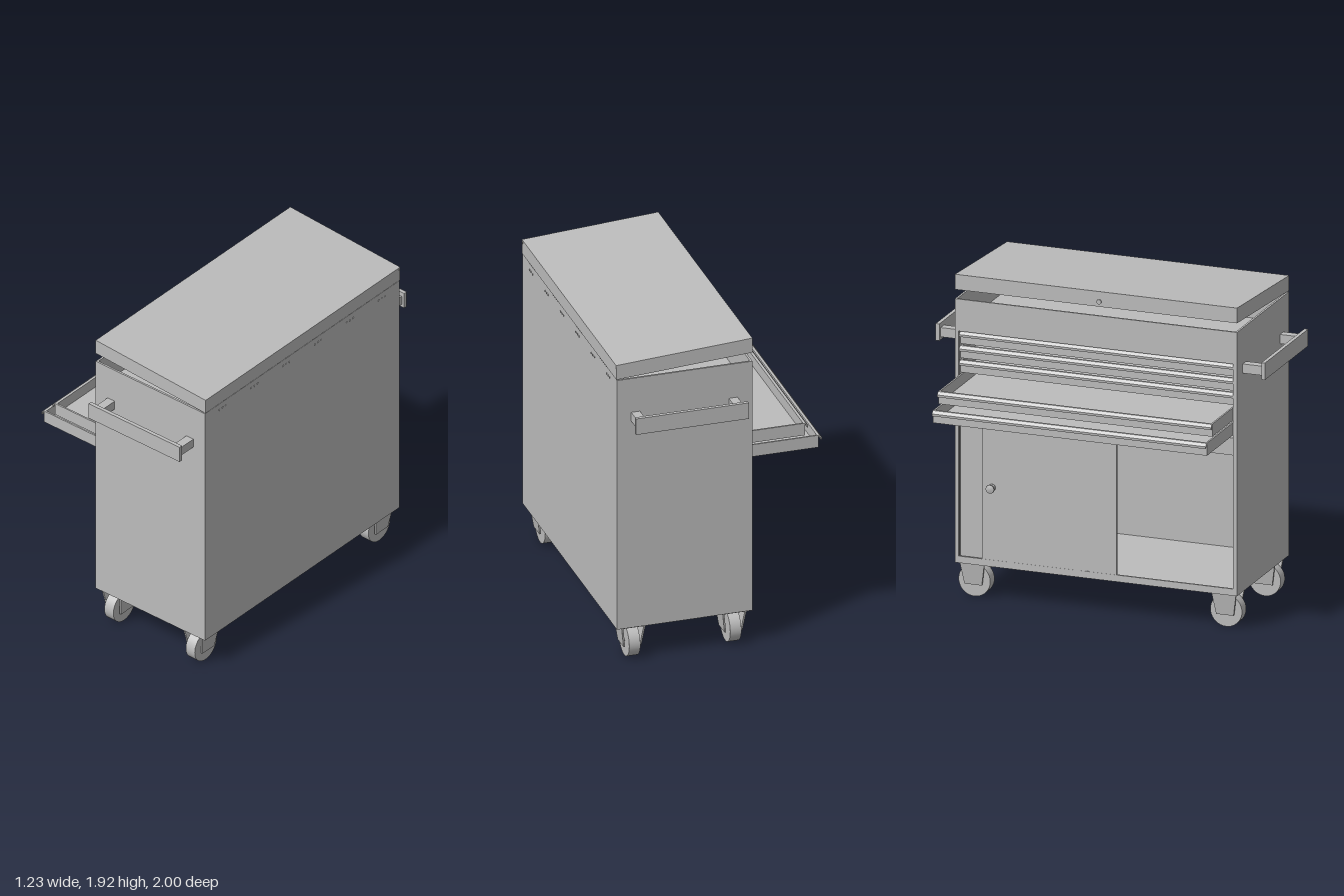
import * as THREE from 'three';

const steel = new THREE.MeshStandardMaterial({ color: 0xbcbcbc });
steel.name = 'grey steel';

function add(parent, name, geometry) {
  const mesh = new THREE.Mesh(geometry, steel);
  mesh.name = name;
  parent.add(mesh);
  return mesh;
}

// Box given by its limits on each axis
function box(parent, name, x0, x1, y0, y1, z0, z1) {
  const mesh = add(parent, name, new THREE.BoxGeometry(x1 - x0, y1 - y0, z1 - z0));
  mesh.position.set((x0 + x1) / 2, (y0 + y1) / 2, (z0 + z1) / 2);
  return mesh;
}

// Profile in x, y run along z
function prism(parent, name, points, z0, z1) {
  const shape = new THREE.Shape(points.map(p => new THREE.Vector2(...p)));
  const geometry = new THREE.ExtrudeGeometry(shape, { depth: z1 - z0, bevelEnabled: false });
  const mesh = add(parent, name, geometry);
  mesh.position.z = z0;
  return mesh;
}

function group(parent, name) {
  const g = new THREE.Group();
  g.name = name;
  parent.add(g);
  return g;
}

const X0 = -0.2, X1 = 0.605, Y0 = 0.21, Y1 = 1.775, Z = 0.855, T = 0.012;

function buildCabinet(root) {
  const g = group(root, 'cabinet');
  box(g, 'backPanel', X1 - T, X1, Y0, Y1, -Z, Z);
  box(g, 'floor', X0, X1, Y0, Y0 + T, -Z, Z);
  box(g, 'drawerDivider', -0.185, X1, 1.13, 1.142, -Z, Z);
  box(g, 'topTray', X0, X1, 1.585, 1.597, -Z, Z);
  box(g, 'upperFrontPanel', X0, X0 + T, 1.585, Y1, -Z, Z);
  box(g, 'doorHeader', -0.19, -0.15, 1.04, 1.142, -Z, Z);
  box(g, 'bottomRail', X0, X0 + T, Y0, 0.25, -Z, Z);
  box(g, 'doorTrack', -0.178, -0.172, Y0, 0.24, -Z, Z);
  for (const s of [-1, 1]) {
    const side = (name, x0, x1, y0, y1, a, b) =>
      box(g, name, x0, x1, y0, y1, Math.min(s * a, s * b), Math.max(s * a, s * b));
    side('sidePanel', X0, X1, Y0, Y1, Z - T, Z);
    side('frontStile', X0, X0 + T, Y0, Y1, 0.832, Z);
    side('innerJamb', -0.15, -0.09, Y0, 1.13, 0.82, Z);
  }
  // hinge rivets along the back
  for (let i = 0; i < 6; i++) for (let k = -1; k <= 1; k++) {
    const rivet = add(g, 'hingeRivet', new THREE.CylinderGeometry(0.006, 0.006, 0.004, 8));
    rivet.rotation.z = Math.PI / 2;
    rivet.position.set(X1 + 0.001, 1.735, 0.7 - 0.28 * i + 0.028 * k);
  }
}

function buildLid(root) {
  const g = group(root, 'lid');
  prism(g, 'lidTop', [[X0, 1.91], [0.61, 1.86], [0.61, 1.87], [X0, 1.92]], -Z, Z);
  const edge = [[X0, 1.83], [0.57, 1.783], [0.605, 1.78], [0.61, 1.865], [X0, 1.915]];
  prism(g, 'lidSide', edge, -Z, -Z + T);
  prism(g, 'lidSide', edge, Z - T, Z);
  box(g, 'lidFront', X0, X0 + T, 1.83, 1.915, -Z, Z);
  box(g, 'lidBack', 0.597, 0.608, 1.78, 1.866, -Z, Z);
  const lock = add(g, 'lidLock', new THREE.CylinderGeometry(0.014, 0.014, 0.012, 16));
  lock.rotation.z = Math.PI / 2;
  lock.position.set(X0 - 0.002, 1.86, 0.02);
}

// Open tray with a hooked pull along its front edge
function buildDrawer(root, front, top) {
  const g = group(root, 'drawer');
  const w = 0.83, t = 0.01, back = front + 0.74, low = top - 0.075;
  box(g, 'drawerBottom', front, back, low, low + t, -w, w);
  box(g, 'drawerFront', front, front + t, low, top, -w, w);
  box(g, 'drawerBack', back - t, back, low, top, -w, w);
  box(g, 'drawerSide', front, back, low, top, -w, -w + t);
  box(g, 'drawerSide', front, back, low, top, w - t, w);
  prism(g, 'drawerPull', [
    [front + t, top], [front - 0.006, top], [front - 0.02, top - 0.016],
    [front - 0.018, top - 0.03], [front - 0.013, top - 0.03],
    [front - 0.013, top - 0.018], [front - 0.002, top - 0.007], [front + t, top - 0.007],
  ], -w, w);
}

function buildDoors(root) {
  const g = group(root, 'slidingDoors');
  box(g, 'frontDoor', -0.199, -0.187, 0.235, 1.13, -0.69, 0.125);
  box(g, 'rearDoor', -0.172, -0.16, 0.222, 1.05, -0.832, 0);
  box(g, 'trackStop', -0.204, -0.19, 0.212, 0.252, -0.055, -0.045);
  const profile = [[0, 0], [0.022, 0], [0.02, 0.006], [0.012, 0.014], [0.012, 0.02],
    [0.026, 0.032], [0.024, 0.039], [0, 0.041]];
  const knob = add(g, 'doorKnob',
    new THREE.LatheGeometry(profile.map(p => new THREE.Vector2(...p)), 24));
  knob.rotation.z = Math.PI / 2;
  knob.position.set(-0.199, 0.68, -0.63);
}

function buildHandle(root, s) {
  const g = group(root, 'pushHandle');
  const bar = add(g, 'handleBar', new THREE.BoxGeometry(0.67, 0.1, 0.022));
  bar.position.set(0.203, 1.54, s * 0.987);
  for (const x of [-0.086, 0.494]) {
    const post = add(g, 'handlePost', new THREE.BoxGeometry(0.052, 0.055, 0.13));
    post.position.set(x, 1.535, s * 0.915);
  }
}

// Wheel between two tapered, inward-leaning cheeks
function buildCaster(root, x, z) {
  const g = group(root, 'caster');
  g.position.set(x, 0, z);
  box(g, 'mountPlate', -0.072, 0.072, 0.2, 0.21, -0.075, 0.075);
  for (const s of [-1, 1]) {
    const geo = new THREE.BoxGeometry(0.01, 0.135, 0.15);
    const p = geo.attributes.position;
    for (let i = 0; i < p.count; i++) {
      const low = p.getY(i) < 0;
      p.setX(i, p.getX(i) + s * (low ? 0.048 : 0.067));
      if (low) p.setZ(i, p.getZ(i) * 0.7);
      p.setY(i, p.getY(i) + 0.1425);
    }
    geo.computeVertexNormals();
    add(g, 'forkCheek', geo);
  }
  const tyre = add(g, 'wheel', new THREE.CylinderGeometry(0.096, 0.096, 0.066, 40));
  const axle = add(g, 'axle', new THREE.CylinderGeometry(0.014, 0.014, 0.1, 12));
  for (const part of [tyre, axle]) {
    part.rotation.z = Math.PI / 2;
    part.position.y = 0.096;
  }
}

export function createModel() {
  const root = new THREE.Group();
  root.name = 'toolCabinet';
  buildCabinet(root);
  buildLid(root);
  buildDoors(root);
  // three closed drawers above two pulled-out ones
  const drawers = [[-0.178, 1.58], [-0.178, 1.495], [-0.178, 1.41], [-0.52, 1.325], [-0.602, 1.237]];
  for (const [front, top] of drawers) buildDrawer(root, front, top);
  for (const s of [-1, 1]) {
    buildHandle(root, s);
    for (const x of [-0.1, 0.5]) buildCaster(root, x, s * 0.763);
  }
  return root;
}
